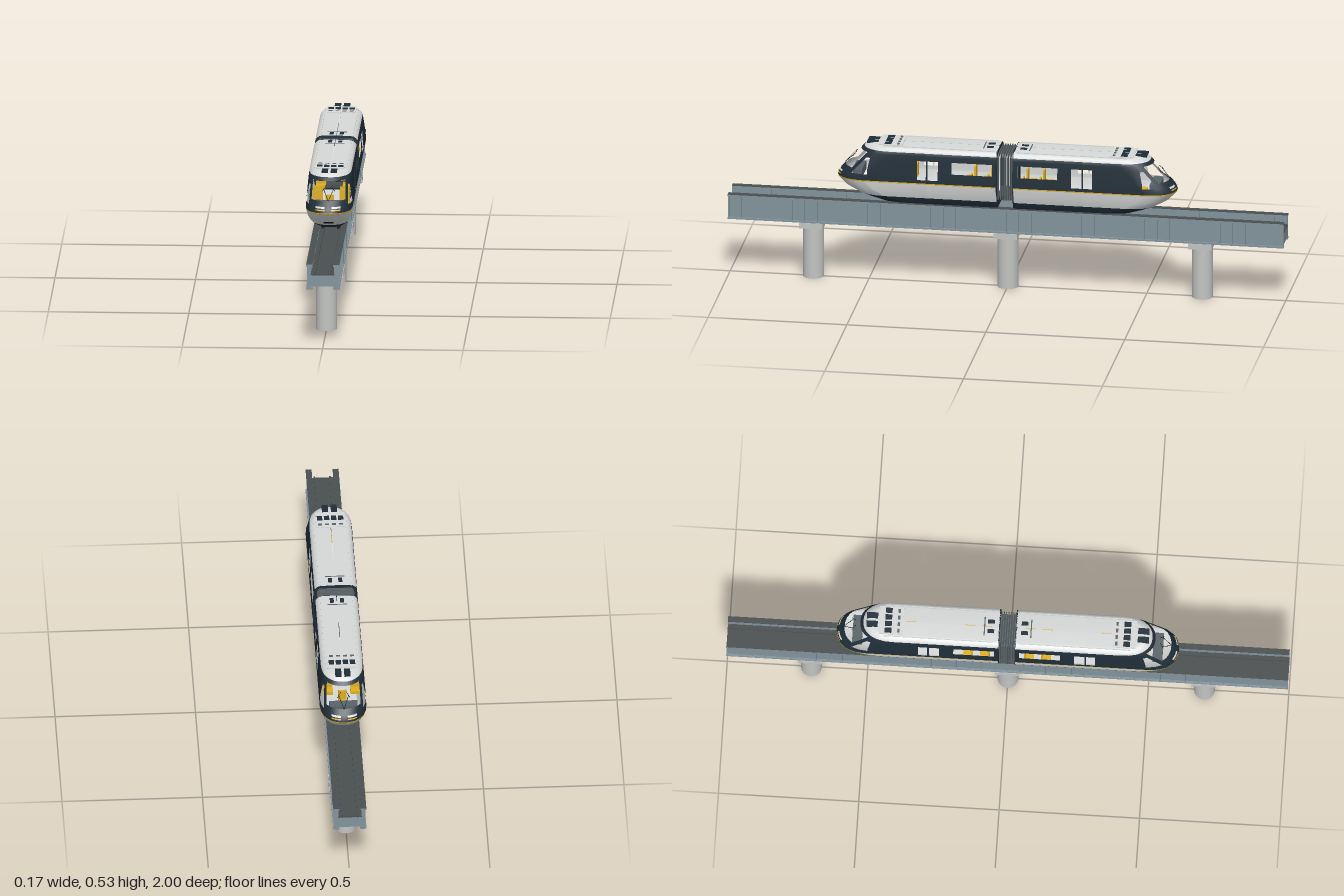
import * as THREE from 'three';

const mat = (name, color) => {
  const m = new THREE.MeshStandardMaterial({ color });
  m.name = name;
  return m;
};

// Body levels: [height, half width, nose tip z]
const ROWS = [
  [0.312, 0.055, 0.46], [0.325, 0.063, 0.5], [0.338, 0.069, 0.535], [0.365, 0.078, 0.582],
  [0.394, 0.083, 0.61], [0.398, 0.083, 0.61], [0.41, 0.0825, 0.605], [0.42, 0.082, 0.597],
  [0.437, 0.081, 0.582], [0.48, 0.078, 0.542], [0.497, 0.0765, 0.526], [0.508, 0.075, 0.515],
  [0.516, 0.07, 0.506], [0.522, 0.062, 0.497], [0.5245, 0.052, 0.488], [0.526, 0.001, 0.47],
];
const SIDE = [0.03, 0.045, 0.19, 0.24, 0.277, 0.283, 0.315];
const DEPTH = 0.11, POW = 2.3;

// Plan outline of the body at one level, from right rear round the nose to left rear
function outline(y, hw, tip) {
  const b = THREE.MathUtils.clamp(0.05 + (y - 0.42) / 0.06 * 0.4, 0.05, 0.45);
  const half = SIDE.map(z => [hw, z]);
  for (const a of [0, b / 2, b, (b + 0.59) / 2, 0.59, 0.77, 1.0, 1.2, 1.4, Math.PI / 2]) {
    const c = Math.max(0, Math.cos(a)), s = Math.sin(a);
    half.push([hw * (c < 1e-6 ? 0 : c ** (2 / POW)), tip - DEPTH + DEPTH * s ** (2 / POW)]);
  }
  const right = half.map(([x, z]) => [-x, z]);
  return right.concat(half.slice(0, -1).reverse());
}

// Nose surface z at a given x and y
function noseZ(x, y) {
  const j = Math.max(1, ROWS.findIndex(r => r[0] >= y));
  const [p, q] = [ROWS[j - 1], ROWS[j]], t = (y - p[0]) / (q[0] - p[0]);
  const hw = p[1] + (q[1] - p[1]) * t, tip = p[2] + (q[2] - p[2]) * t;
  return tip - DEPTH + DEPTH * (1 - Math.min(1, Math.abs(x) / hw) ** POW) ** (1 / POW);
}

function isWindow(h, y) {
  if (h === 1) return y > 0.437 && y < 0.48;
  if (h === 3 || h === 5) return y > 0.41 && y < 0.48;
  if (h === 9 || h === 10) return y > 0.42 && y < 0.48;
  return h >= 12 && y > 0.437 && y < 0.497;
}

// Lofted shell with open windows; bandOf picks the colour group by height
function shellGeometry(inset, bandOf, bands, flip) {
  const pos = [], lists = Array.from({ length: bands }, () => []);
  let n = 0;
  for (const [y, hw, tip] of ROWS) {
    const ring = outline(y, Math.max(0.001, hw - inset), tip - inset);
    n = ring.length;
    for (const [x, z] of ring) pos.push(x, y > 0.5 ? y - inset * 0.7 : y, z);
  }
  for (let j = 0; j < ROWS.length - 1; j++) {
    const ym = (ROWS[j][0] + ROWS[j + 1][0]) / 2;
    for (let i = 0; i < n - 1; i++) {
      if (isWindow(Math.min(i, n - 2 - i), ym)) continue;
      const a = j * n + i, b = a + 1, c = b + n, d = a + n;
      lists[bandOf(ym)].push(...(flip ? [a, c, b, a, d, c] : [a, b, c, a, c, d]));
    }
  }
  const g = new THREE.BufferGeometry();
  g.setAttribute('position', new THREE.Float32BufferAttribute(pos, 3));
  g.setIndex(lists.flat());
  let start = 0;
  lists.forEach((l, k) => { g.addGroup(start, l.length, k); start += l.length; });
  g.computeVertexNormals();
  return g;
}

export function createModel() {
  const navy = mat('navy paint', 0x1f2d38), white = mat('light grey paint', 0xd6d9d8);
  const yellow = mat('yellow', 0xe0b020), steel = mat('blue grey steel', 0x82939c);
  const dark = mat('dark track', 0x4a4f50), concrete = mat('concrete', 0xc2c4c2);
  const black = mat('black', 0x161c21), grey = mat('bellows grey', 0x5a6468);
  const root = new THREE.Group();
  root.name = 'monorail';

  const add = (parent, name, geo, m) => {
    const mesh = new THREE.Mesh(geo, m);
    mesh.name = name;
    parent.add(mesh);
    return mesh;
  };
  const box = (parent, name, m, w, h, d, x, y, z) => {
    const mesh = add(parent, name, new THREE.BoxGeometry(w, h, d), m);
    mesh.position.set(x, y, z);
    return mesh;
  };
  const rod = (parent, name, m, a, b, r) =>
    add(parent, name, new THREE.TubeGeometry(new THREE.LineCurve3(a, b), 1, r, 6), m);
  // Rectangular frame facing z
  const frame = (parent, name, m, outer, hx, y0, y1, depth, z) => {
    const s = new THREE.Shape(outer.map(([x, y]) => new THREE.Vector2(x, y)));
    s.holes.push(new THREE.Path([[-hx, y0], [-hx, y1], [hx, y1], [hx, y0]].map(p => new THREE.Vector2(...p))));
    const mesh = add(parent, name, new THREE.ExtrudeGeometry(s, { depth, bevelEnabled: false }), m);
    mesh.position.z = z;
  };
  // Thin plate following the nose
  const nosePlate = (parent, name, m, x0, x1, y0, y1) => {
    const g = new THREE.PlaneGeometry(x1 - x0, y1 - y0, 8, 2).translate((x0 + x1) / 2, (y0 + y1) / 2, 0);
    const p = g.attributes.position;
    for (let i = 0; i < p.count; i++) p.setZ(i, noseZ(p.getX(i), p.getY(i)) + 0.003);
    g.computeVertexNormals();
    add(parent, name, g, m);
  };

  // Piers
  for (const z of [-0.7, 0, 0.7]) {
    add(root, 'pier', new THREE.CylinderGeometry(0.037, 0.037, 0.197, 32), concrete).position.set(0, 0.0985, z);
    box(root, 'pierCap', concrete, 0.123, 0.021, 0.085, 0, 0.2065, z);
  }

  // Guideway
  for (const s of [-1, 1]) {
    box(root, 'girderWeb', steel, 0.008, 0.092, 2, s * 0.047, 0.262, 0);
    box(root, 'girderBottomFlange', steel, 0.022, 0.006, 2, s * 0.048, 0.22, 0);
    box(root, 'girderTopFlange', steel, 0.021, 0.007, 2, s * 0.048, 0.3045, 0);
    box(root, 'runningSurface', dark, 0.021, 0.002, 2, s * 0.048, 0.309, 0);
    box(root, 'guideRail', dark, 0.006, 0.006, 2, s * 0.028, 0.276, 0);
    for (let i = 0; i <= 44; i++)
      box(root, 'girderRib', steel, 0.015, 0.08, 0.004, s * 0.0485, 0.262, -0.997 + i * 1.994 / 44);
  }
  box(root, 'trackDeck', dark, 0.086, 0.004, 2, 0, 0.271, 0);
  for (let i = 0; i <= 44; i++)
    box(root, 'crossTie', steel, 0.086, 0.042, 0.02, 0, 0.249, -0.99 + i * 1.98 / 44);

  // One car, nose towards +z
  const section = ROWS.map(([y, hw]) => [hw, y]).concat(ROWS.map(([y, hw]) => [-hw, y]).reverse());
  const band = y => (y < 0.338 || (y > 0.398 && y < 0.508) ? 0 : y > 0.394 && y < 0.398 ? 2 : 1);
  function makeCar() {
    const car = new THREE.Group();
    add(car, 'bodyShell', shellGeometry(0, band, 3, false), [navy, white, yellow]);
    add(car, 'interiorLining', shellGeometry(0.003, () => 0, 1, true), [white]);
    frame(car, 'rearFrame', navy, section, 0.05, 0.35, 0.502, 0.004, 0.028);
    box(car, 'underfloor', black, 0.106, 0.008, 0.41, 0, 0.326, 0.235);
    box(car, 'floor', white, 0.108, 0.012, 0.4, 0, 0.338, 0.235);

    // Bogies
    for (const z of [0.11, 0.37]) for (const s of [-1, 1]) {
      box(car, 'bogieFrame', black, 0.008, 0.03, 0.09, s * 0.027, 0.31, z);
      box(car, 'guideWheelMount', black, 0.014, 0.006, 0.05, s * 0.028, 0.298, z);
    }

    // Seats and dashboard
    for (const s of [-1, 1]) for (const z of [0.08, 0.14, 0.35, 0.4]) {
      box(car, 'seat', yellow, 0.034, 0.012, 0.032, s * 0.048, 0.382, z);
      box(car, 'seatBack', yellow, 0.034, 0.05, 0.006, s * 0.048, 0.405, z - 0.016);
    }
    box(car, 'dashboard', grey, 0.1, 0.03, 0.035, 0, 0.411, 0.535);
    box(car, 'driverSeat', yellow, 0.03, 0.012, 0.034, 0, 0.39, 0.485);
    box(car, 'driverSeatBack', yellow, 0.03, 0.045, 0.006, 0, 0.41, 0.466);
    rod(car, 'sunBlindRail', black, new THREE.Vector3(-0.058, 0.49, 0.495), new THREE.Vector3(0.058, 0.49, 0.495), 0.0012);

    // Nose details
    const at = (x, y) => new THREE.Vector3(x, y, noseZ(x, y) + 0.003);
    for (const s of [-1, 1]) {
      const pair = (a, b) => (s > 0 ? [a, b] : [-b, -a]);
      nosePlate(car, 'headlight', white, ...pair(0.012, 0.045), 0.414, 0.42);
      nosePlate(car, 'markerLight', yellow, ...pair(0.012, 0.045), 0.4065, 0.4105);
      rod(car, 'wiperArm', black, at(0, 0.437), at(s * 0.018, 0.474), 0.001);
      rod(car, 'wiperBlade', black, at(s * 0.009, 0.483), at(s * 0.023, 0.466), 0.001);
    }
    nosePlate(car, 'couplerCover', black, -0.018, 0.018, 0.35, 0.358);

    // Roof equipment
    box(car, 'roofPanel', white, 0.104, 0.003, 0.085, 0, 0.5255, 0.415);
    for (const s of [-1, 1]) {
      box(car, 'roofScoop', navy, 0.022, 0.007, 0.04, s * 0.016, 0.524, 0.483);
      box(car, 'roofHatch', navy, 0.014, 0.004, 0.024, s * 0.018, 0.526, 0.06);
      box(car, 'roofRib', white, 0.003, 0.004, 0.4, s * 0.058, 0.5235, 0.24);
    }
    for (let i = 0; i < 4; i++) {
      const x = (i - 1.5) * 0.025;
      box(car, 'roofVent', navy, 0.019, 0.002, 0.024, x, 0.5275, 0.425);
      box(car, 'roofSlot', grey, 0.014, 0.002, 0.008, x, 0.5275, 0.388);
    }
    box(car, 'roofSeam', grey, 0.07, 0.002, 0.004, 0, 0.5255, 0.083);
    return car;
  }
  const front = makeCar(), rear = makeCar();
  front.name = 'frontCar';
  rear.name = 'rearCar';
  rear.rotation.y = Math.PI;
  root.add(front, rear);

  // Gangway bellows
  const ring = [[-0.066, 0.345], [0.066, 0.345], [0.066, 0.505], [0.058, 0.516], [-0.058, 0.516], [-0.066, 0.505]];
  for (let i = -3; i <= 3; i++)
    frame(root, 'gangwayRib', grey, ring, 0.052, 0.358, 0.502, 0.003, i * 0.0085 - 0.0015);
  box(root, 'gangwayFloor', dark, 0.1, 0.006, 0.06, 0, 0.356, 0);
  box(root, 'gangwayRoof', dark, 0.11, 0.004, 0.06, 0, 0.509, 0);
  return root;
}
